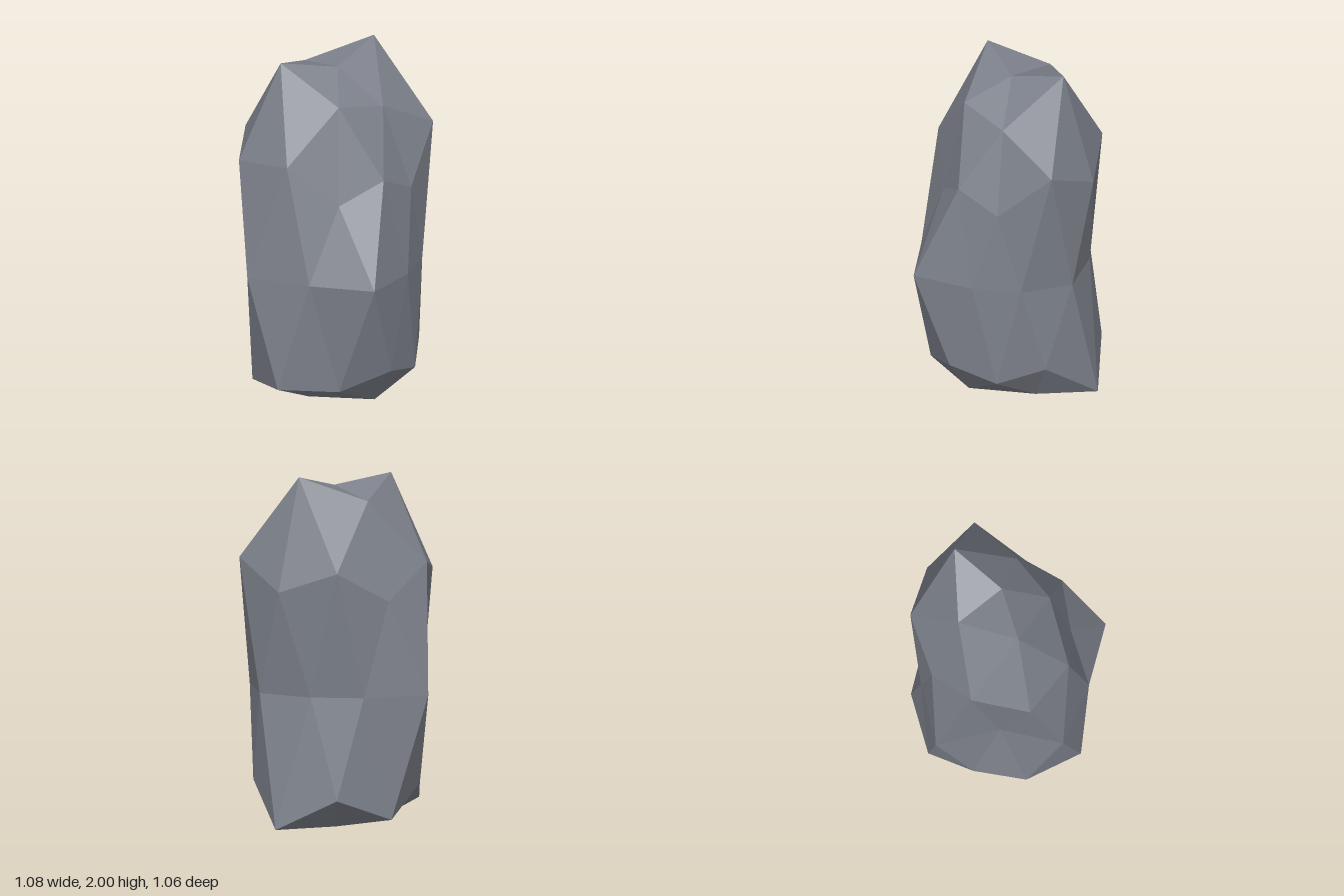
import * as THREE from 'three';

// Boulder: a pole-aligned, once-subdivided icosahedron. Each corner is pushed
// in or out by its own radius, stretched upward and cut flat at the ground.
const CENTRE = new THREE.Vector3(0.07, 0.76, 0);
const STRETCH = new THREE.Vector3(1.06, 2.28, 1);

// Polar angles of the rings, in degrees from the top
const CAP = 31.72, CORNER = 63.43, EDGE = 58.28;

function corner(radius, polar, around) {
  const p = THREE.MathUtils.degToRad(polar);
  const a = THREE.MathUtils.degToRad(around);
  const v = new THREE.Vector3(Math.sin(p) * Math.cos(a), Math.cos(p), Math.sin(p) * Math.sin(a));
  v.multiplyScalar(radius).multiply(STRETCH).add(CENTRE);
  v.y = Math.max(0, v.y);
  return v;
}

function createRockGeometry() {
  // Rings of corners from top to bottom, by their radii
  const top = corner(0.502, 0, 0);
  const upperCap = [0.484, 0.512, 0.618, 0.565, 0.639].map((r, k) => corner(r, CAP, 72 * k));
  const upper = [0.461, 0.482, 0.434, 0.558, 0.628, 0.61, 0.535, 0.606, 0.592, 0.635]
    .map((r, i) => corner(r, i % 2 ? EDGE : CORNER, 36 * i));
  const waist = [0.46, 0.61, 0.52, 0.608, 0.41, 0.612, 0.475, 0.45, 0.505, 0.453]
    .map((r, i) => corner(r, 90, 18 + 36 * i));
  const lower = [0.51, 0.535, 0.541, 0.627, 0.57, 0.536, 0.592, 0.572, 0.656, 0.515]
    .map((r, i) => corner(r, 180 - (i % 2 ? CORNER : EDGE), 36 * i));
  const lowerCap = [0.625, 0.525, 0.5, 0.65, 0.615].map((r, k) => corner(r, 180 - CAP, 36 + 72 * k));
  const bottom = corner(0.5, 180, 0);

  const points = [];
  const face = (flip, a, b, c) => points.push(...(flip ? [a, c, b] : [a, b, c]));

  // One half: a fan at the pole, a cap ring and a band down to the waist
  function half(pole, cap, ring, shift, flip) {
    for (let k = 0; k < 5; k++) {
      const a = cap[k], b = cap[(k + 1) % 5];
      const [p, q, r] = [0, 1, 2].map((n) => ring[(2 * k + n + shift) % 10]);
      face(flip, pole, b, a);
      face(flip, a, q, p);
      face(flip, a, b, q);
      face(flip, b, r, q);
    }
    for (let i = 0; i < 10; i++) {
      face(flip, ring[i], ring[(i + 1) % 10], waist[i]);
      face(flip, ring[i], waist[i], waist[(i + 9) % 10]);
    }
  }
  half(top, upperCap, upper, 0, false);
  half(bottom, lowerCap, lower, 1, true);

  const geometry = new THREE.BufferGeometry().setFromPoints(points);
  geometry.computeVertexNormals();
  return geometry;
}

export function createModel() {
  const stone = new THREE.MeshStandardMaterial({ color: 0x7d818b, flatShading: true });
  stone.name = 'grey stone';

  const rock = new THREE.Mesh(createRockGeometry(), stone);
  rock.name = 'rock';

  const group = new THREE.Group();
  group.name = 'standing rock';
  group.add(rock);
  return group;
}
